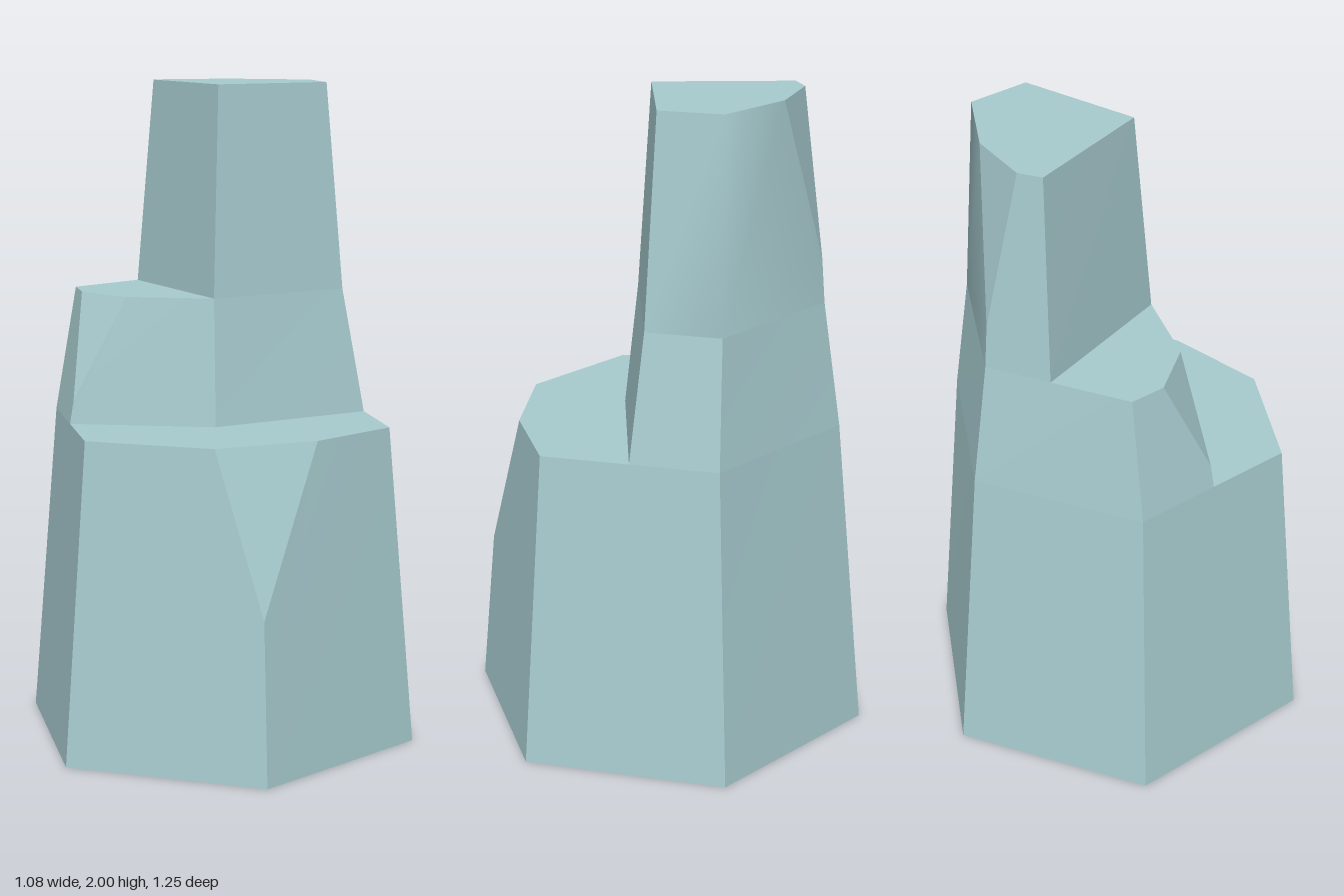
import * as THREE from 'three';
import { mergeGeometries } from 'three/addons/utils/BufferGeometryUtils.js';

const stone = new THREE.MeshStandardMaterial({ color: 0xa8ccd0 });
const grey = new THREE.MeshStandardMaterial({ color: 0xcccccc });

// Points of one level, given as [x, z] pairs
const level = (y, pts) => pts.map(([x, z]) => new THREE.Vector3(x, y, z));

// A group of convex faces; corners shared inside the group are shaded smoothly
function facet(...faces) {
  const points = [...new Set(faces.flat())];
  const index = [];
  for (const f of faces) {
    for (let i = 1; i < f.length - 1; i++) {
      index.push(points.indexOf(f[0]), points.indexOf(f[i]), points.indexOf(f[i + 1]));
    }
  }
  const geo = new THREE.BufferGeometry().setFromPoints(points);
  geo.setIndex(index);
  geo.computeVertexNormals();
  return geo;
}

function addPart(group, name, facets, material = stone) {
  const mesh = new THREE.Mesh(mergeGeometries(facets), material);
  mesh.name = name;
  group.add(mesh);
}

export function createModel() {
  const group = new THREE.Group();
  group.name = 'rockPillar';

  // Hexagonal foot, front corner first, running counter-clockwise from above
  const P = level(0, [[0, 0.625], [0.54, 0.312], [0.54, -0.312], [0, -0.625], [-0.54, -0.312], [-0.54, 0.312]]);

  // Lower ledge: chipped front corner, hexagon corners and the foot of the middle step
  const [s1, s2, q1, C, D, E, F, A, q5, B] = level(0.98, [
    [-0.12, 0.465], [0.2, 0.418], [0.465, 0.27], [0.465, 0], [0.465, -0.27],
    [0, -0.535], [-0.465, -0.27], [-0.465, 0], [-0.465, 0.27], [-0.045, 0.15]]);

  // Middle ledge and the foot of the spire
  const [a1, a2, b, c, d, e, g, f] = level(1.365, [
    [-0.4, -0.145], [-0.29, 0.01], [-0.04, 0.105], [0.4, -0.03],
    [0.4, -0.26], [0, -0.48], [-0.18, -0.381], [-0.4, -0.26]]);

  // Spire top
  const k = level(2, [[-0.015, 0.055], [0.35, -0.055], [0.35, -0.25], [0.135, -0.375], [-0.065, -0.395], [-0.13, -0.355]]);

  // Lowest points of the three chipped corners
  const frontChip = new THREE.Vector3(0, 0.49, 0.58);
  const sideChip = new THREE.Vector3(-0.453, 1.05, -0.003);
  const backChip = new THREE.Vector3(0, 1.5, -0.47);

  addPart(group, 'base', [
    facet([P[0], P[1], q1, s2, frontChip]),
    facet([P[5], P[0], frontChip, s1, q5]),
    facet([frontChip, s2, s1]),
    facet([P[1], P[2], D, C, q1]),
    facet([P[2], P[3], E, D]),
    facet([P[3], P[4], F, E]),
    facet([P[4], P[5], q5, A, F]),
    facet([B, A, q5, s1, s2, q1, C]),
  ]);
  addPart(group, 'underside', [facet([...P].reverse())], grey);

  addPart(group, 'middleStep', [
    facet([A, B, b, a2, sideChip]),
    facet([sideChip, a2, a1]),
    facet([F, A, sideChip, a1, f]),
    facet([B, C, c, b]),
    facet([C, D, d, c]),
    facet([D, E, e, d]),
    facet([E, F, f, g, e]),
    facet([a1, a2, b, g, f]),
  ]);

  addPart(group, 'spire', [
    facet([b, c, k[1], k[0]]),
    // rounded shading over the left and back-left sides
    facet([c, d, k[2], k[1]], [d, e, backChip, k[3], k[2]]),
    facet([backChip, k[4], k[3]]),
    facet([e, g, k[5], k[4], backChip]),
    facet([g, b, k[0], k[5]]),
    facet(k),
  ]);

  return group;
}
